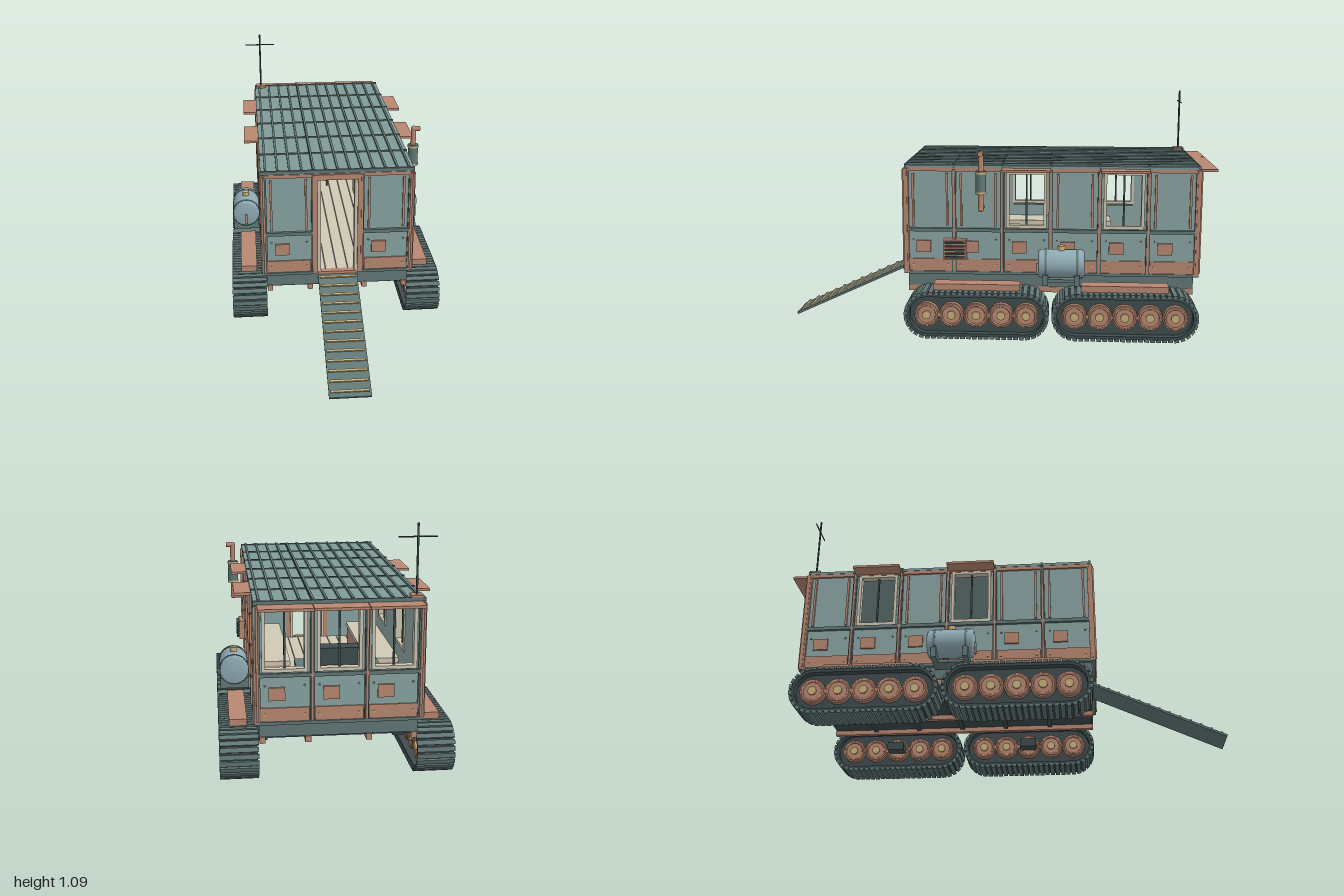
import * as THREE from 'three';
import { mergeGeometries } from 'three/addons/utils/BufferGeometryUtils.js';

const mat = (color) => new THREE.MeshStandardMaterial({ color });
const M = {
  panel: mat(0x8aa5a3), rail: mat(0x627877), dark: mat(0x3f4c4e), copper: mat(0xb98872),
  cream: mat(0xcfc8b4), brass: mat(0xc9b27c), tank: mat(0x8fabb5), roof: mat(0x7f9b98),
};

function add(parent, name, geo, material, x = 0, y = 0, z = 0) {
  const m = new THREE.Mesh(geo, material);
  m.name = name;
  m.position.set(x, y, z);
  parent.add(m);
  return m;
}
// Box given by its limits
function box(parent, name, material, x0, x1, y0, y1, z0, z1) {
  return add(parent, name, new THREE.BoxGeometry(x1 - x0, y1 - y0, z1 - z0), material,
    (x0 + x1) / 2, (y0 + y1) / 2, (z0 + z1) / 2);
}
// Cylinder along a chosen axis
function cyl(parent, name, material, r, len, axis, x, y, z, sides = 24) {
  const g = new THREE.CylinderGeometry(r, r, len, sides);
  if (axis === 'x') g.rotateZ(Math.PI / 2);
  if (axis === 'z') g.rotateX(Math.PI / 2);
  return add(parent, name, g, material, x, y, z);
}
function group(parent, name, x = 0, y = 0, z = 0, ry = 0) {
  const g = new THREE.Group();
  g.name = name;
  g.position.set(x, y, z);
  g.rotation.y = ry;
  parent.add(g);
  return g;
}

const BAY = 0.22;

// Rectangular frame around an opening
function frame(parent, name, material, hw, y0, y1, t, z0, z1) {
  for (const s of [-1, 1]) {
    const a = s * hw, b = s * (hw - t);
    box(parent, name, material, Math.min(a, b), Math.max(a, b), y0, y1, z0, z1);
  }
  box(parent, name, material, -hw + t, hw - t, y1 - t, y1, z0, z1);
  box(parent, name, material, -hw + t, hw - t, y0, y0 + t, z0, z1);
}

// One wall bay: local x along the wall, +z outward, outer face at z = 0
function wallBay(parent, type, u) {
  const g = group(parent, type + 'Bay', u);
  const h = BAY / 2;
  if (type === 'door') {
    for (const s of [-1, 1]) {
      const j = group(g, 'doorJamb', s * 0.1);
      box(j, 'doorPost', M.copper, -0.01, 0.01, 0.29, 0.775, -0.02, 0.014);
      box(j, 'doorLining', M.cream, s > 0 ? -0.024 : 0.01, s > 0 ? -0.01 : 0.024, 0.29, 0.755, -0.03, 0.006);
    }
    box(g, 'doorLintel', M.copper, -0.11, 0.11, 0.75, 0.775, -0.02, 0.016);
    box(g, 'doorSill', M.copper, -0.09, 0.09, 0.282, 0.295, -0.02, 0.01);
    return;
  }
  // lower wall, skirt, hatch plate and rivets
  box(g, 'lowerPanel', M.panel, -h, h, 0.285, 0.495, -0.02, 0);
  box(g, 'skirt', M.copper, -h + 0.012, h - 0.012, 0.298, 0.355, 0, 0.006);
  box(g, 'hatchPlate', M.copper, -0.065, 0.001, 0.386, 0.44, 0, 0.01);
  for (const s of [-1, 1]) for (const y of [0.327, 0.445])
    cyl(g, 'rivet', y < 0.4 ? M.brass : M.rail, 0.005, 0.006, 'z', s * 0.08, y, y < 0.4 ? 0.007 : 0.001, 8);
  if (type === 'window') {
    for (const s of [-1, 1])
      box(g, 'windowPier', M.panel, s > 0 ? 0.087 : -h, s > 0 ? h : -0.087, 0.495, 0.775, -0.02, 0);
    frame(g, 'windowFrame', M.cream, 0.092, 0.503, 0.765, 0.014, -0.026, 0.008);
    box(g, 'windowMullion', M.dark, -0.004, 0.004, 0.515, 0.753, -0.014, -0.006);
  } else {
    box(g, 'upperPanel', M.panel, -h, h, 0.495, 0.775, -0.02, 0);
    for (const s of [-1, 1])
      box(g, 'panelStrip', M.copper, s * 0.078 - 0.005, s * 0.078 + 0.005, 0.51, 0.752, 0, 0.009);
  }
}

function wall(parent, name, types, x, z, ry, awnings) {
  const g = group(parent, name, x, 0, z, ry);
  const n = types.length, half = n * BAY / 2;
  types.forEach((t, i) => {
    const u = -half + BAY * (i + 0.5);
    wallBay(g, t, u);
    if (t !== 'door') {
      box(g, 'beltRail', M.rail, u - 0.11, u + 0.11, 0.484, 0.5, 0, 0.014);
      box(g, 'sillRail', M.rail, u - 0.11, u + 0.11, 0.285, 0.298, 0, 0.012);
    }
    if (t === 'window') box(g, 'awning', M.copper, u - 0.109, u + 0.109, 0.768, 0.779, 0, awnings);
  });
  // posts between bays and the top rail
  for (let i = 0; i <= n; i++) {
    const u = -half + BAY * i;
    box(g, 'post', M.rail, u - 0.009, u + 0.009, 0.285, 0.775, -0.012, 0.012);
    box(g, 'postCap', M.copper, u - 0.005, u + 0.005, 0.3, 0.77, 0.012, 0.018);
  }
  box(g, 'topRail', M.copper, -half, half, 0.762, 0.778, 0, 0.01);
}

// Track unit: belt loop, cleats, five wheels, guard on top
function track(parent, x, z) {
  const g = group(parent, 'trackUnit', x, 0.128, z);
  const L = 0.218, R = 0.098, W = 0.16;
  const stadium = (r, P) => {
    const p = new P();
    p.absarc(L, 0, r, -Math.PI / 2, Math.PI / 2, false);
    p.absarc(-L, 0, r, Math.PI / 2, Math.PI * 1.5, false);
    p.closePath();
    return p;
  };
  const s = stadium(R, THREE.Shape);
  s.holes.push(stadium(R - 0.014, THREE.Path));
  const belt = new THREE.ExtrudeGeometry(s, { depth: W - 0.01, bevelEnabled: false, curveSegments: 16 });
  belt.translate(0, 0, -(W - 0.01) / 2).rotateY(Math.PI / 2);
  add(g, 'trackBelt', belt, M.dark);
  const web = new THREE.ExtrudeGeometry(stadium(R - 0.012, THREE.Shape), { depth: 0.08, bevelEnabled: false });
  web.translate(0, 0, -0.04).rotateY(Math.PI / 2);
  add(g, 'trackWeb', web, M.dark);

  const pads = [], N = 56, arc = Math.PI * R, per = 4 * L + 2 * arc;
  for (let i = 0; i < N; i++) {
    let d = (i + 0.5) / N * per, zz, a;
    if (d < 2 * L) { zz = L - d; a = 0; }
    else if (d < 2 * L + arc) { zz = -L; a = (d - 2 * L) / R; }
    else if (d < 4 * L + arc) { zz = -L + d - 2 * L - arc; a = Math.PI; }
    else { zz = L; a = Math.PI + (d - 4 * L - arc) / R; }
    const p = new THREE.BoxGeometry(W, 0.012, 0.02);
    p.translate(0, R + 0.004, 0).rotateX(-a).translate(0, 0, zz);
    pads.push(p);
  }
  add(g, 'trackCleats', mergeGeometries(pads), M.rail);
  for (let i = -2; i <= 2; i++) {
    const wz = i * 0.112;
    cyl(g, 'wheel', M.copper, 0.056, 0.13, 'x', 0, 0, wz, 28);
    cyl(g, 'hub', M.brass, 0.019, 0.146, 'x', 0, 0, wz, 16);
    for (const q of [-1, 1]) {
      const ring = new THREE.TorusGeometry(0.045, 0.005, 6, 28).rotateY(Math.PI / 2);
      add(g, 'wheelRim', ring, M.copper, q * 0.065, 0, wz);
    }
  }
  box(g, 'trackGuard', M.copper, -0.037, 0.037, 0.104, 0.136, -0.195, 0.195);
  box(g, 'axleStub', M.dark, x > 0 ? -0.13 : 0, x > 0 ? 0 : 0.13, -0.02, 0.02, -0.04, 0.04);
}

function fuelTank(parent, x, z) {
  const g = group(parent, 'fuelTank', x, 0.358, z);
  const pts = [[0, -0.105], [0.055, -0.103], [0.065, -0.095], [0.065, 0.095], [0.055, 0.103], [0, 0.105]]
    .map(([r, y]) => new THREE.Vector2(r, y));
  add(g, 'tankShell', new THREE.LatheGeometry(pts, 28).rotateX(Math.PI / 2), M.tank);
  for (const s of [-1, 1]) {
    box(g, 'tankCradle', M.rail, -0.063, 0.063, -0.088, -0.04, s * 0.07 - 0.012, s * 0.07 + 0.012);
    cyl(g, 'tankStrap', M.rail, 0.067, 0.01, 'z', 0, 0, s * 0.07, 28);
  }
  cyl(g, 'fillerCap', M.brass, 0.017, 0.024, 'y', 0, 0.071, 0, 14);
  box(g, 'sightGauge', M.copper, -0.006, 0.006, -0.05, 0, 0.1, 0.112);
  box(g, 'tankBracket', M.rail, x > 0 ? -0.08 : 0, x > 0 ? 0 : 0.08, -0.088, -0.075, -0.08, 0.08);
}

export function createModel() {
  const root = new THREE.Group();
  root.name = 'trackedCabin';
  const ZC = -0.255, ZF = 0.405, ZR = -0.915;

  // chassis
  const ch = group(root, 'chassis');
  box(ch, 'chassisBox', M.rail, -0.325, 0.325, 0.228, 0.286, ZR + 0.01, ZF - 0.005);
  box(ch, 'underside', M.dark, -0.32, 0.32, 0.222, 0.23, ZR + 0.015, ZF - 0.01);
  for (const x of [-0.31, -0.125, 0.125, 0.31])
    box(ch, 'chassisBeam', M.copper, x - 0.012, x + 0.012, 0.2, 0.226, ZR + 0.01, ZF - 0.005);
  for (let i = 1; i < 6; i++)
    box(ch, 'crossMember', M.dark, -0.31, 0.31, 0.212, 0.224, ZF - i * BAY - 0.01, ZF - i * BAY + 0.01);

  // walls
  const side = ['solid', 'solid', 'window', 'solid', 'window', 'solid'];
  wall(root, 'frontWall', ['solid', 'door', 'solid'], 0, ZF, 0, 0);
  wall(root, 'rearWall', ['window', 'window', 'window'], 0, ZR, Math.PI, 0.085);
  wall(root, 'leftWall', side, 0.33, ZC, Math.PI / 2, 0.08);
  wall(root, 'rightWall', [...side].reverse(), -0.33, ZC, -Math.PI / 2, 0.08);
  for (const x of [-0.333, 0.333]) for (const z of [ZF, ZR])
    box(root, 'cornerPost', M.copper, x - 0.011, x + 0.011, 0.29, 0.775, z - 0.012, z + 0.012);

  // roof with ribs and seams
  const roof = group(root, 'roof');
  box(roof, 'roofPanel', M.roof, -0.342, 0.342, 0.778, 0.79, ZR - 0.005, ZF + 0.006);
  for (let i = -6; i <= 6; i++)
    box(roof, 'roofRib', M.rail, i * 0.0533 - 0.005, i * 0.0533 + 0.005, 0.79, 0.799, ZR, ZF);
  for (let i = 0; i <= 6; i++) {
    const z = ZF - i * BAY;
    box(roof, 'roofSeam', M.rail, -0.344, 0.344, 0.779, 0.794, z - 0.006, z + 0.006);
  }
  for (const x of [-0.11, 0.11]) box(roof, 'roofJoint', M.dark, x - 0.004, x + 0.004, 0.785, 0.795, ZR, ZF);

  // running gear and tanks
  for (const x of [-0.405, 0.405]) for (const z of [0.075, -0.59]) track(root, x, z);
  fuelTank(root, 0.408, -0.305);
  fuelTank(root, -0.412, -0.22);

  // boarding ramp
  const ramp = group(root, 'ramp', 0, 0.144, 0.7);
  ramp.rotation.x = Math.atan2(0.275, 0.6);
  box(ramp, 'rampPlate', M.rail, -0.09, 0.09, -0.006, 0.004, -0.33, 0.327);
  for (let i = 0; i < 13; i++) {
    const z = -0.3 + i * 0.05;
    box(ramp, 'rampCleat', M.brass, -0.083, 0.083, 0.004, 0.011, z - 0.005, z + 0.005);
  }

  // exhaust stack
  const ex = group(root, 'exhaust', 0, 0, 0.058);
  const path = new THREE.CurvePath();
  const P = [[0.335, 0.6], [0.395, 0.6], [0.395, 0.852], [0.425, 0.852]].map(([x, y]) => new THREE.Vector3(x, y, 0));
  for (let i = 0; i < 3; i++) {
    const a = P[i], b = P[i + 1];
    const horizontal = i !== 1;
    cyl(ex, 'exhaustPipe', M.copper, 0.012, a.distanceTo(b), horizontal ? 'x' : 'y', (a.x + b.x) / 2, (a.y + b.y) / 2, 0, 14);
    if (i) add(ex, 'exhaustElbow', new THREE.SphereGeometry(0.0135, 14, 10), M.copper, a.x, a.y, 0);
  }
  cyl(ex, 'muffler', M.rail, 0.024, 0.105, 'y', 0.395, 0.72, 0, 20);
  for (const y of [0.675, 0.765]) cyl(ex, 'mufflerBand', M.brass, 0.026, 0.01, 'y', 0.395, y, 0, 20);

  // louvred vent
  const vent = group(root, 'vent', 0.345, 0.405, 0.18);
  box(vent, 'ventBox', M.copper, -0.015, 0.022, -0.046, 0.046, -0.052, 0.052);
  for (let i = -2; i <= 2; i++) box(vent, 'louvre', M.dark, 0.02, 0.034, i * 0.017 - 0.004, i * 0.017 + 0.004, -0.045, 0.045);

  // antenna
  const an = group(root, 'antenna', -0.31, 0, -0.895);
  box(an, 'antennaBase', M.copper, -0.025, 0.025, 0.785, 0.803, -0.025, 0.025);
  cyl(an, 'antennaMast', M.dark, 0.0045, 0.29, 'y', 0, 0.943, 0, 8);
  cyl(an, 'antennaBar', M.dark, 0.003, 0.155, 'x', 0, 1.033, 0, 8);

  // interior: planked floor, console, stool, side benches
  const inn = group(root, 'interior');
  for (let i = 0; i < 12; i++)
    box(inn, 'floorPlank', M.cream, -0.31 + i * 0.0517, -0.261 + i * 0.0517, 0.284, 0.292, ZR + 0.02, ZF - 0.02);
  box(inn, 'consoleBase', M.panel, -0.16, 0.16, 0.292, 0.5, -0.89, -0.8);
  box(inn, 'consoleTop', M.rail, -0.17, 0.17, 0.49, 0.51, -0.89, -0.76);
  box(inn, 'instrumentPanel', M.dark, -0.086, 0.086, 0.51, 0.585, -0.88, -0.81);
  for (const x of [-0.052, 0, 0.052]) {
    cyl(inn, 'gaugeRim', M.copper, 0.021, 0.008, 'z', x, 0.55, -0.808, 18);
    cyl(inn, 'gaugeFace', M.cream, 0.017, 0.008, 'z', x, 0.55, -0.805, 18);
  }
  box(inn, 'stoolSeat', M.copper, -0.047, 0.047, 0.386, 0.402, -0.7, -0.61);
  for (const x of [-0.037, 0.037]) for (const z of [-0.69, -0.62])
    box(inn, 'stoolLeg', M.dark, x - 0.004, x + 0.004, 0.292, 0.388, z - 0.004, z + 0.004);
  for (const s of [-1, 1]) {
    const b = group(inn, 'sideBench', s * 0.24);
    box(b, 'benchBase', M.copper, -0.065, 0.065, 0.292, 0.42, -0.55, 0.1);
    box(b, 'benchTop', M.cream, -0.072, 0.072, 0.42, 0.44, -0.555, 0.105);
  }
  return root;
}
